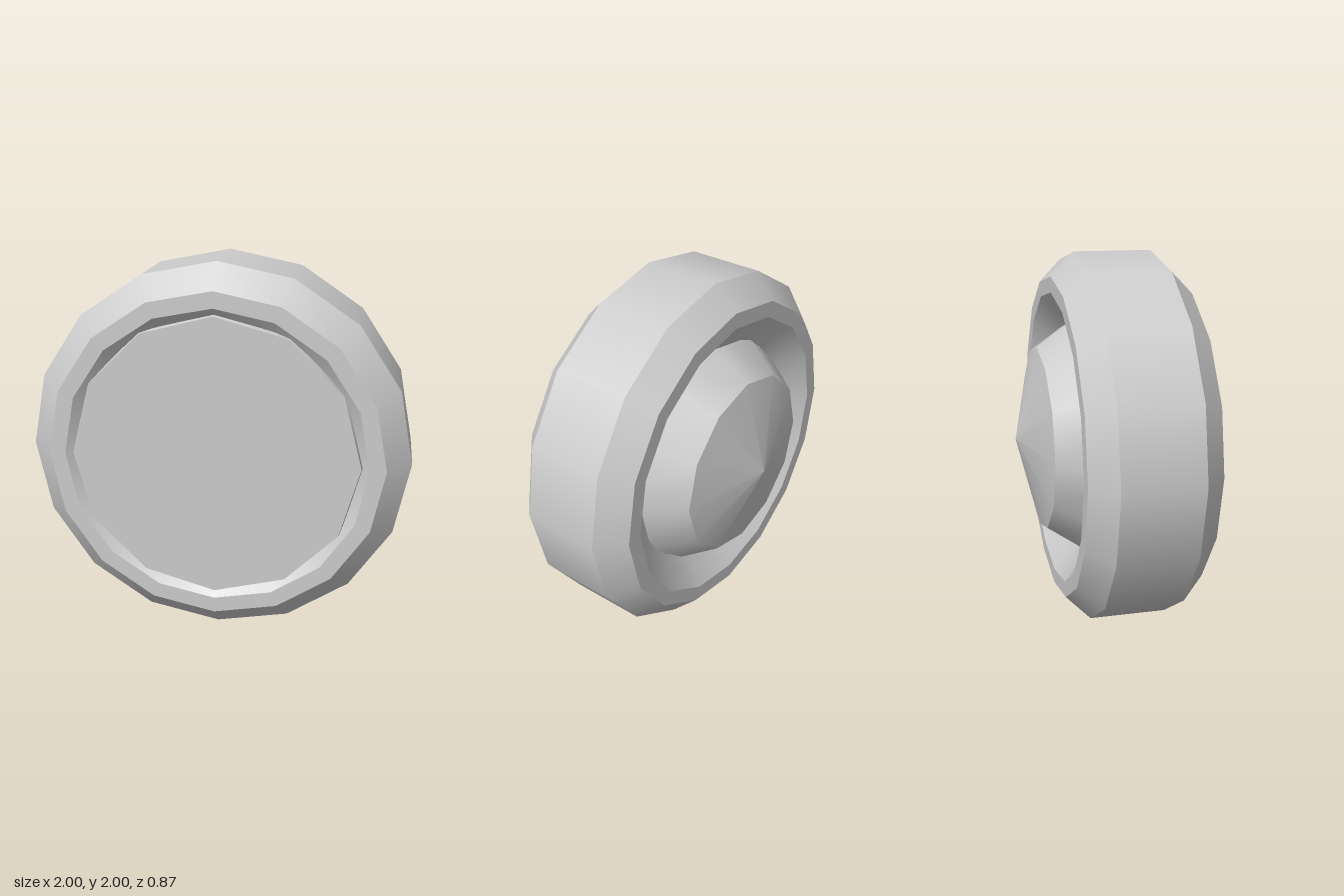
import * as THREE from 'three';
import { mergeGeometries } from 'three/addons/utils/BufferGeometryUtils.js';

// Revolves a [radius, z] profile about the z axis, with a crease between bands.
// The profile runs towards +z on surfaces that face outwards.
function revolve(profile, sides) {
  const bands = [];
  for (let i = 0; i < profile.length - 1; i++) {
    const ends = [profile[i], profile[i + 1]].map(([r, z]) => new THREE.Vector2(r, z));
    bands.push(new THREE.LatheGeometry(ends, sides));
  }
  return mergeGeometries(bands).rotateX(Math.PI / 2);
}

export function createModel() {
  const group = new THREE.Group();
  group.name = 'wheel';
  const grey = new THREE.MeshStandardMaterial({ color: 0xcccccc });
  grey.name = 'light grey';

  const add = (name, profile, sides) => {
    const mesh = new THREE.Mesh(revolve(profile, sides), grey);
    mesh.name = name;
    mesh.position.y = 1;
    group.add(mesh);
  };

  // Tire: chamfered outside, hollow inside with flared lips
  add('tire', [
    [0.79, -0.23], [0.875, -0.23], [1, -0.105], [1, 0.31], [0.875, 0.435],
    [0.79, 0.435], [0.63, 0.31], [0.63, -0.105], [0.79, -0.23],
  ], 16);

  // Hub: pointed back, flared body and flat front disc
  add('hub', [
    [0, -0.435], [0.5, -0.31], [0.757, 0.06], [0.757, 0.4], [0.75, 0.425], [0, 0.425],
  ], 12);

  return group;
}
